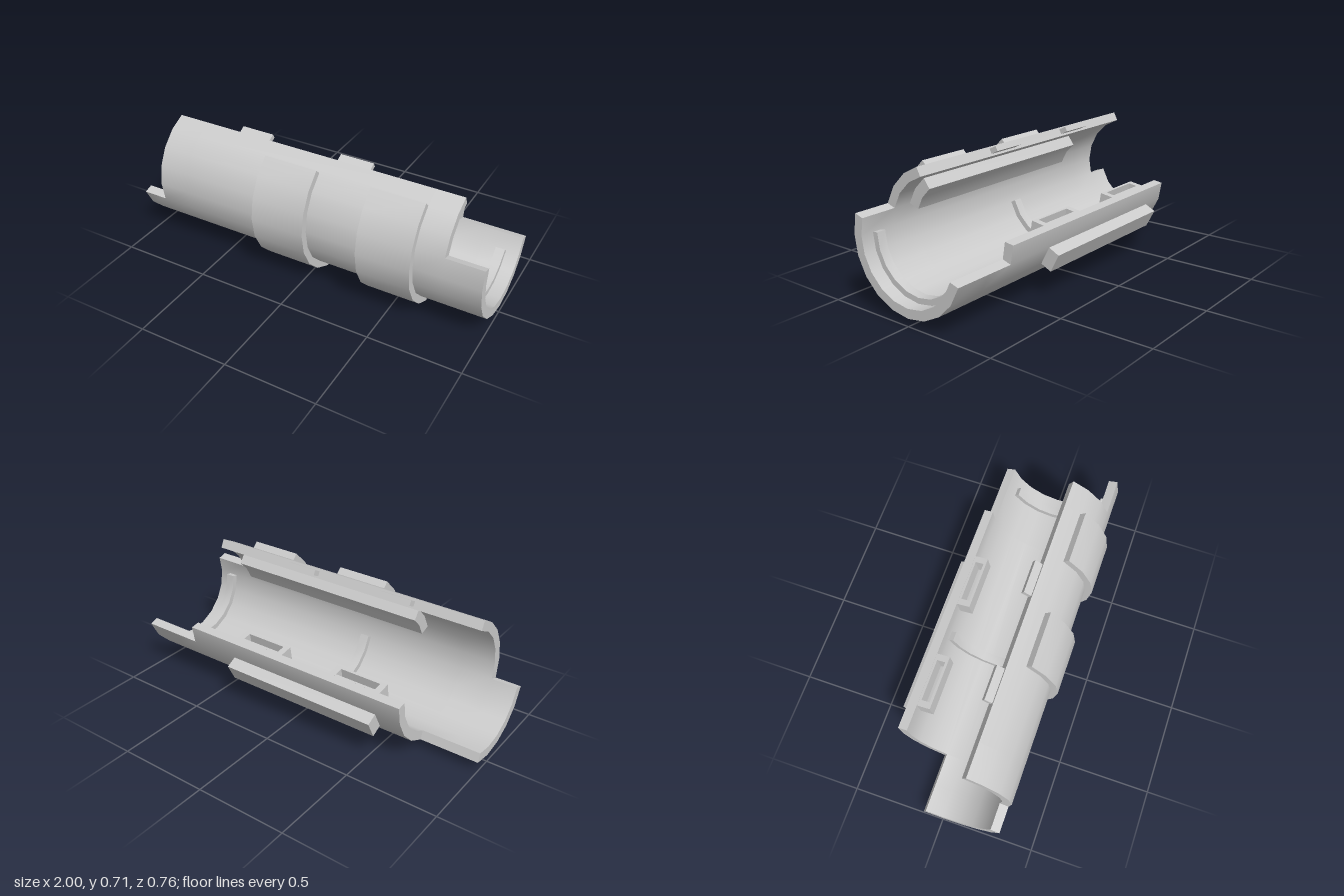
import * as THREE from 'three';
import { toCreasedNormals } from 'three/addons/utils/BufferGeometryUtils.js';

const CY = 0.38;            // height of the tube axis
const STEP = Math.PI / 10;  // 20-sided tube; index 0 is the bottom, positive runs up the front
const mat = new THREE.MeshStandardMaterial({ color: 0xcccccc });

const smooth = (geo) => toCreasedNormals(geo, Math.PI / 6);

// Curved wall of thickness r0..r1. Each row is [x0, x1, firstIndex, lastIndex].
// With an anchor radius, the outermost ends are cut square to the last facet.
function curvedWall(name, r0, r1, rows, anchor) {
  const kMin = Math.min(...rows.map((r) => r[2]));
  const kMax = Math.max(...rows.map((r) => r[3]));
  const point = (x, k, r) => {
    const square = anchor !== undefined && (k === kMin || k === kMax);
    const a = k * STEP;
    const m = (k === kMin ? k + 0.5 : k - 0.5) * STEP;
    const base = square ? anchor : r;
    const extra = r - base;
    return [x, CY - base * Math.cos(a) - extra * Math.cos(m), base * Math.sin(a) + extra * Math.sin(m)];
  };
  const pos = [];
  const quad = (a, b, c, d) => pos.push(...a, ...b, ...c, ...a, ...c, ...d);
  const filled = (i, k) => i >= 0 && i < rows.length && k >= rows[i][2] && k < rows[i][3];

  rows.forEach(([x0, x1, k0, k1], i) => {
    for (let k = k0; k < k1; k++) {
      const o = [point(x0, k, r1), point(x1, k, r1), point(x1, k + 1, r1), point(x0, k + 1, r1)];
      const n = [point(x0, k, r0), point(x1, k, r0), point(x1, k + 1, r0), point(x0, k + 1, r0)];
      quad(o[0], o[1], o[2], o[3]);
      quad(n[3], n[2], n[1], n[0]);
      if (!filled(i - 1, k)) quad(o[0], o[3], n[3], n[0]);
      if (!filled(i + 1, k)) quad(o[2], o[1], n[1], n[2]);
      if (!filled(i, k - 1)) quad(o[0], n[0], n[1], o[1]);
      if (!filled(i, k + 1)) quad(o[2], n[2], n[3], o[3]);
    }
  });
  const geo = new THREE.BufferGeometry();
  geo.setAttribute('position', new THREE.Float32BufferAttribute(pos, 3));
  const mesh = new THREE.Mesh(smooth(geo), mat);
  mesh.name = name;
  return mesh;
}

// Puts a flat part on a facet: local y points outward, local z runs along the facet.
function onFacet(name, geo, k) {
  const mesh = new THREE.Mesh(geo, mat);
  mesh.name = name;
  mesh.position.y = CY;
  mesh.rotation.x = Math.PI - k * STEP;
  return mesh;
}

function block(x0, x1, y0, y1, z0, z1) {
  const geo = new THREE.BoxGeometry(x1 - x0, y1 - y0, z1 - z0);
  return geo.translate((x0 + x1) / 2, (y0 + y1) / 2, (z0 + z1) / 2);
}

function rectangle(PathType, x0, x1, y0, y1) {
  return new PathType([[x0, y0], [x1, y0], [x1, y1], [x0, y1]].map((p) => new THREE.Vector2(...p)));
}

export function createModel() {
  const model = new THREE.Group();
  model.name = 'openSleeve';

  // Main open tube with stepped ends
  model.add(curvedWall('shell', 0.29, 0.34, [
    [-1, -0.86, -1, 4],
    [-0.86, -0.68, -1, 9],
    [-0.68, 0.65, -5, 9],
    [0.65, 0.8, -4, 9],
    [0.8, 1, -4, 6],
  ], 0.29));

  // Raised outer bands
  model.add(curvedWall('middleBand', 0.34, 0.38, [[-0.24, 0.06, 0, 8]], 0.34));
  model.add(curvedWall('leftBand', 0.34, 0.38, [[0.36, 0.65, 1, 8]], 0.34));

  // Inner ribs and the rail under the upper edge
  model.add(curvedWall('endRib', 0.26, 0.29, [[0.88, 0.93, -3, 5]], 0.29));
  model.add(curvedWall('middleRib', 0.26, 0.29, [[-0.12, -0.07, -4, 4]], 0.29));
  model.add(curvedWall('innerRail', 0.23, 0.29, [[-0.47, 0.7, 6, 8]]));

  // Slotted latch sockets inside the rear edge
  for (const x of [-0.54, 0.06]) {
    const shape = rectangle(THREE.Shape, x, x + 0.3, 0.213, 0.286);
    shape.holes.push(rectangle(THREE.Path, x + 0.035, x + 0.265, 0.227, 0.273));
    const geo = new THREE.ExtrudeGeometry(shape, { depth: 0.09, bevelEnabled: false });
    model.add(onFacet('latchSocket', geo.translate(0, 0, -0.045), -4.5));
  }

  // Latch tabs on the upper front edge
  for (const x of [-0.48, 0.11]) {
    model.add(onFacet('latchTab', block(x, x + 0.185, 0.298, 0.326, -0.09, -0.045), 8.5));
  }

  // Long bar along the outside of the rear wall
  model.add(onFacet('rearBar', block(-0.54, 0.36, 0.335, 0.4, -0.053, 0.053), -3.5));

  return model;
}
